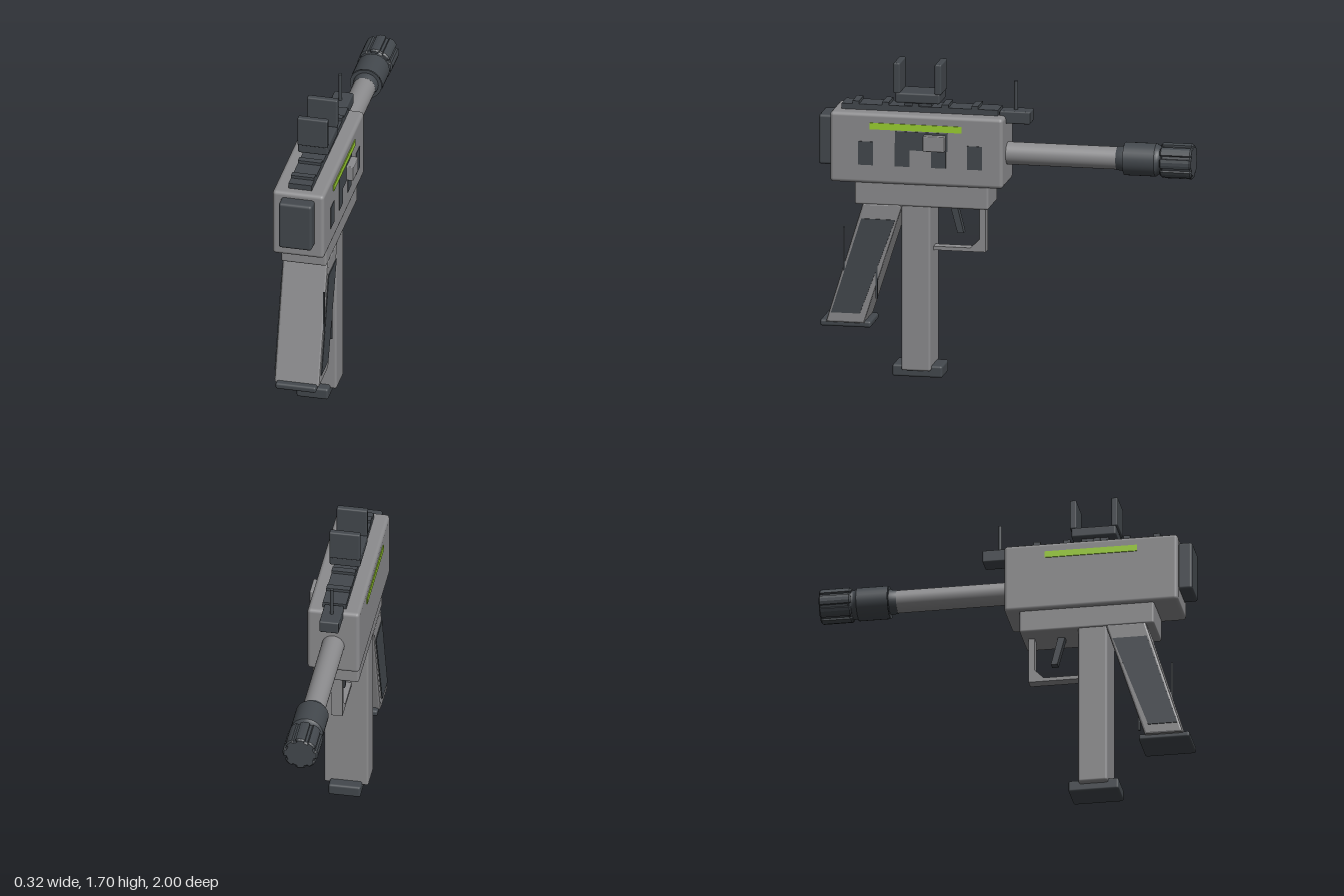
import * as THREE from 'three';
import { RoundedBoxGeometry } from 'three/addons/geometries/RoundedBoxGeometry.js';

const CX = -0.02; // centre plane of the model

export function createModel() {
  const model = new THREE.Group();
  const material = (name, color) => {
    const m = new THREE.MeshStandardMaterial({ color });
    m.name = name;
    return m;
  };
  const grey = material('grey metal', 0x8c8c8e);
  const dark = material('dark polymer', 0x43484d);
  const green = material('green stripe', 0x9bd030);

  const add = (name, geometry, mat) => {
    const mesh = new THREE.Mesh(geometry, mat);
    mesh.name = name;
    model.add(mesh);
    return mesh;
  };
  // Box given by its extents, with optional rounded edges
  const box = (name, mat, [x0, x1], [y0, y1], [z0, z1], r = 0) => {
    const s = [x1 - x0, y1 - y0, z1 - z0];
    const g = r ? new RoundedBoxGeometry(...s, 2, r) : new THREE.BoxGeometry(...s);
    g.translate((x0 + x1) / 2, (y0 + y1) / 2, (z0 + z1) / 2);
    return add(name, g, mat);
  };
  // Side outline given as [z, y] points, extruded across x
  const sideProfile = (name, mat, points, [x0, x1], bevel = 0) => {
    const shape = new THREE.Shape(points.map(([z, y]) => new THREE.Vector2(-z, y)));
    const g = new THREE.ExtrudeGeometry(shape, {
      depth: x1 - x0 - 2 * bevel, bevelEnabled: bevel > 0, bevelSize: bevel,
      bevelThickness: bevel, bevelOffset: -bevel, bevelSegments: 2,
    });
    g.rotateY(Math.PI / 2).translate(x0 + bevel, 0, 0);
    return add(name, g, mat);
  };
  const span = (half) => [CX - half, CX + half];

  // Receiver and butt plate
  box('upperReceiver', grey, span(0.14), [1.05, 1.43], [0, 0.93], 0.02);
  box('lowerReceiver', grey, span(0.123), [0.93, 1.06], [0.08, 0.8], 0.012);
  box('buttPlate', dark, span(0.09), [1.13, 1.4], [0.915, 1], 0.015);

  // Green stripes on both sides
  for (const side of [-1, 1]) {
    const x = CX + side * 0.141;
    box('sideStripe', green, [x - 0.004, x + 0.004], [1.345, 1.38], [0.22, 0.713]);
  }

  // Ports and bolt handle on the left side
  const plate = [0.116, 0.1225];
  for (const z of [0.15, 0.345, 0.54, 0.737]) {
    box('sidePort', dark, plate, [1.15, 1.277], [z - 0.04, z + 0.04]);
  }
  box('ejectionPort', dark, [0.116, 0.123], [1.24, 1.34], [0.295, 0.576]);
  box('boltHandle', grey, [0.11, 0.16], [1.245, 1.328], [0.305, 0.422], 0.005);

  // Top rail with cross ridges
  box('topRail', dark, span(0.063), [1.42, 1.46], [0.04, 0.88]);
  for (let i = 0; i < 5; i++) {
    const z = 0.165 + i * 0.16;
    box('railRidge', dark, span(0.063), [1.455, 1.476], [z - 0.018, z + 0.018]);
  }

  // Rear sight with two upright plates
  box('sightRiser', dark, span(0.05), [1.455, 1.49], [0.4, 0.545]);
  box('sightBase', dark, span(0.082), [1.48, 1.535], [0.35, 0.59], 0.01);
  for (const z of [0.36, 0.582]) {
    box('sightPlate', dark, span(0.082), [1.53, 1.695], [z - 0.018, z + 0.018], 0.008);
  }

  // Front sight
  box('frontSightBlock', dark, span(0.052), [1.387, 1.455], [-0.13, 0.035], 0.008);
  const post = add('frontSightPost', new THREE.CylinderGeometry(0.01, 0.01, 0.17, 12), dark);
  post.position.set(CX, 1.525, -0.044);

  // Barrel and muzzle, each a turned profile of [radius, distance forward]
  const turned = (name, mat, profile) => {
    const pts = profile.map(([r, d]) => new THREE.Vector2(r, d));
    const geometry = new THREE.LatheGeometry(pts, 32);
    geometry.rotateX(-Math.PI / 2);
    return add(name, geometry, mat).position.set(CX, 1.217, 0);
  };
  turned('barrel', grey, [[0.06, -0.02], [0.06, 0.6]]);
  turned('muzzleCollar', dark, [[0.055, 0.59], [0.063, 0.59], [0.068, 0.635]]);
  turned('muzzleRearFace', dark, [[0.05, 0.63], [0.086, 0.63]]);
  turned('muzzleSleeve', dark, [[0.088, 0.632], [0.088, 0.8]]);
  turned('muzzleNeck', dark, [[0.088, 0.8], [0.076, 0.815], [0.076, 0.832], [0.088, 0.845]]);

  // Fluted muzzle tip with shallow grooves
  const tip = new THREE.Shape();
  const flutes = 8;
  for (let i = 0; i < flutes; i++) {
    const a = (i / flutes) * Math.PI * 2;
    [[-0.27, 0.093], [-0.09, 0.095], [0.09, 0.095], [0.27, 0.093], [0.31, 0.083], [0.475, 0.083]]
      .forEach(([da, r], j) => {
        const x = Math.cos(a + da) * r, y = Math.sin(a + da) * r;
        if (i + j === 0) tip.moveTo(x, y);
        else tip.lineTo(x, y);
      });
  }
  tip.closePath();
  const tipGeometry = new THREE.ExtrudeGeometry(tip, {
    depth: 0.155, bevelSize: 0.008, bevelThickness: 0.008, bevelOffset: -0.008, bevelSegments: 1,
  });
  add('muzzleTip', tipGeometry, dark).position.set(CX, 1.217, -0.992);

  // Slanted grip with side panels and base
  sideProfile('grip', grey, [[0.755, 0.94], [0.54, 0.94], [0.75, 0.285], [0.955, 0.285]],
    span(0.123), 0.012);
  for (const side of [-1, 1]) {
    const x = CX + side * 0.124;
    sideProfile('gripPanel', dark, [[0.762, 0.855], [0.58, 0.855], [0.77, 0.34], [0.925, 0.34]],
      [x - 0.004, x + 0.004]);
  }
  box('gripBase', dark, span(0.11), [0.26, 0.295], [0.715, 0.988], 0.012);

  // Thin rods beside the grip
  box('gripRod', dark, [0.098, 0.108], [0.57, 0.805], [0.85, 0.86]);
  box('gripRod', dark, [0.098, 0.108], [0.425, 0.64], [0.675, 0.685]);

  // Magazine
  box('magazine', grey, span(0.119), [0.04, 0.94], [0.393, 0.55], 0.012);
  box('magazineBase', dark, span(0.086), [0, 0.064], [0.335, 0.605], 0.012);

  // Trigger and its guard
  sideProfile('trigger', dark, [[0.31, 0.94], [0.272, 0.94], [0.232, 0.777], [0.266, 0.777]],
    span(0.022));
  sideProfile('triggerGuard', grey, [
    [0.147, 0.94], [0.113, 0.94], [0.113, 0.68], [0.4, 0.68],
    [0.4, 0.7], [0.195, 0.7], [0.147, 0.748],
  ], span(0.03));

  return model;
}
